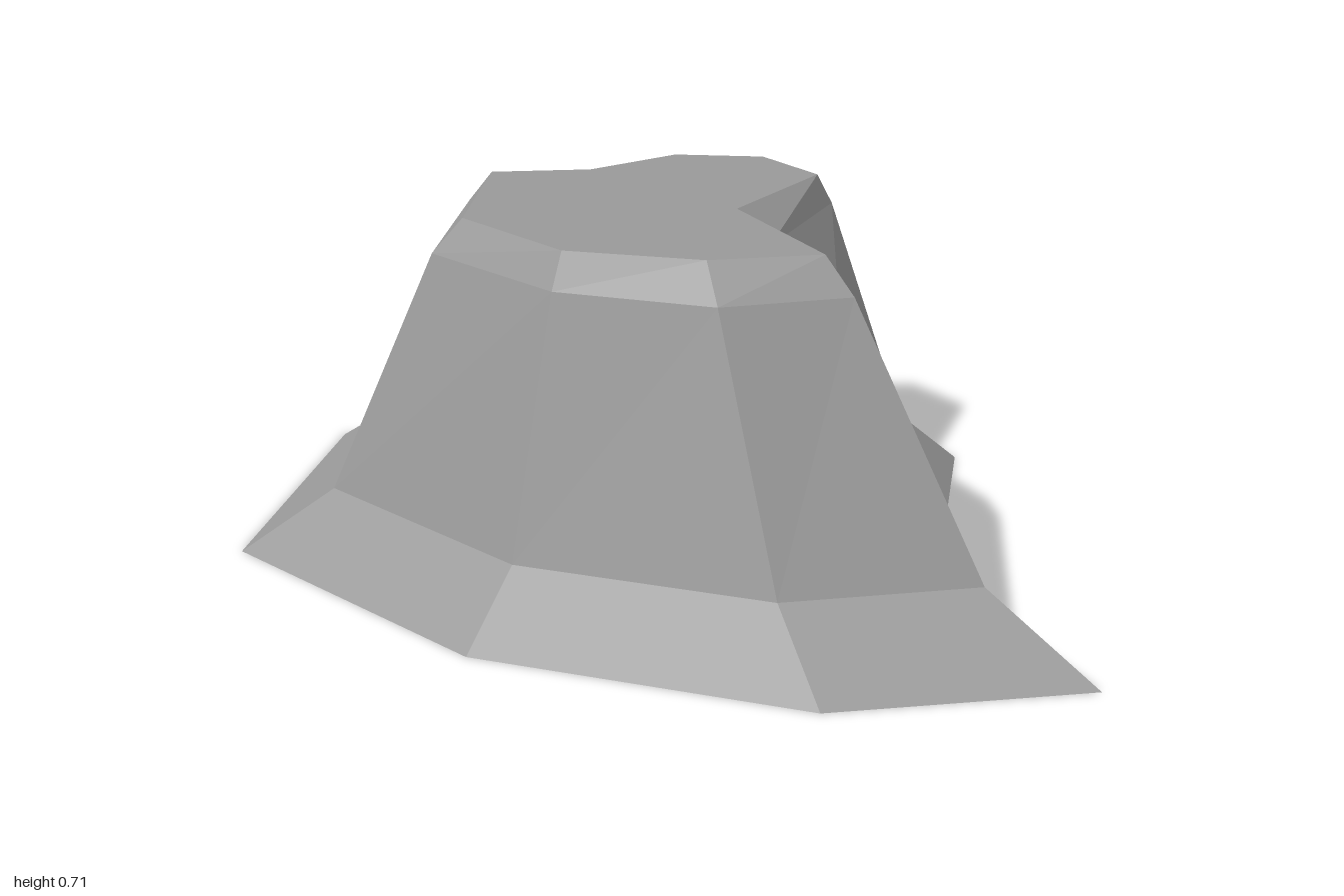
import * as THREE from 'three';

// Outlines [x, z] of the rock at each height, all in the same order
const rings = [
  { y: 0, pts: [[-0.15, -1], [0.11, -0.77], [0.52, -0.6], [0.73, -0.23], [0.66, 0.19], [0.13, 0.5], [-0.08, 1], [-0.47, 0.65], [-0.73, 0.01], [-0.71, -0.68]] },
  { y: 0.13, pts: [[-0.12, -0.81], [0.09, -0.62], [0.41, -0.48], [0.58, -0.2], [0.53, 0.12], [0.09, 0.31], [-0.08, 0.74], [-0.38, 0.48], [-0.58, -0.01], [-0.56, -0.55]] },
  { y: 0.64, pts: [[-0.09, -0.6], [0.08, -0.44], [0.31, -0.37], [0.43, -0.18], [0.39, 0.02], [0.06, 0.11], [-0.09, 0.43], [-0.3, 0.27], [-0.43, -0.03], [-0.41, -0.38]] },
  { y: 0.71, pts: [[-0.08, -0.54], [0.07, -0.39], [0.28, -0.33], [0.39, -0.17], [0.35, 0.01], [0.04, 0.04], [-0.09, 0.36], [-0.26, 0.21], [-0.39, -0.04], [-0.36, -0.34]] },
];

// Faceted band of quads between two outlines
function band(lower, upper) {
  const positions = [];
  const n = lower.pts.length;
  const at = (ring, i) => [ring.pts[i % n][0], ring.y, ring.pts[i % n][1]];
  for (let i = 0; i < n; i++) {
    const a = at(lower, i + 1), b = at(lower, i), c = at(upper, i), d = at(upper, i + 1);
    positions.push(...a, ...b, ...c, ...a, ...c, ...d);
  }
  const geometry = new THREE.BufferGeometry();
  geometry.setAttribute('position', new THREE.Float32BufferAttribute(positions, 3));
  geometry.computeVertexNormals();
  return geometry;
}

// Flat cap filling one outline, facing up (1) or down (-1)
function cap(ring, facing) {
  const shape = new THREE.Shape(ring.pts.map(([x, z]) => new THREE.Vector2(x, -facing * z)));
  return new THREE.ShapeGeometry(shape).rotateX(-facing * Math.PI / 2).translate(0, ring.y, 0);
}

export function createModel() {
  const group = new THREE.Group();
  group.name = 'rock';
  const stone = new THREE.MeshStandardMaterial({ color: 0x999999, flatShading: true });
  stone.name = 'grey stone';

  const add = (name, geometry) => {
    const mesh = new THREE.Mesh(geometry, stone);
    mesh.name = name;
    group.add(mesh);
  };

  // Flared foot, steep walls and bevelled rim
  ['flaredFoot', 'steepWalls', 'bevelledRim'].forEach((name, i) => add(name, band(rings[i], rings[i + 1])));

  // Plateau and underside
  add('plateau', cap(rings[3], 1));
  add('underside', cap(rings[0], -1));
  return group;
}
